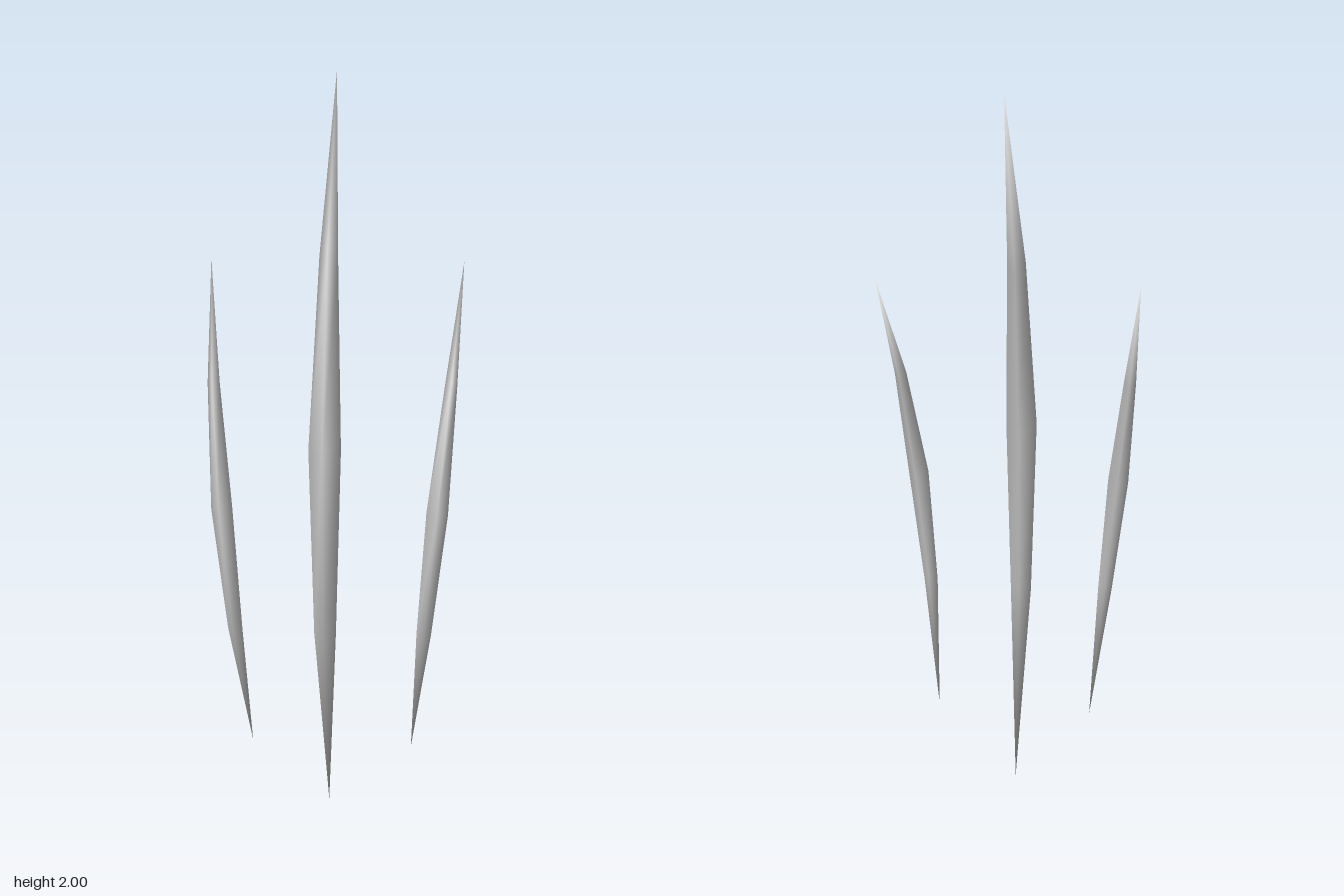
import * as THREE from 'three';

// Cross-sections of one curved claw, bottom to top: front [z, y], back [z, y], half width
const RINGS = [
  { front: [0.185, 0.53], back: [0.105, 0.585], half: 0.029 },
  { front: [0.21, 1.08], back: [0.085, 1.05], half: 0.042 },
  { front: [0.06, 1.57], back: [0.0, 1.52], half: 0.024 },
];
const BOTTOM = [0, 0, 0.03];
const TOP = [0, 2, -0.205];

// Diamond-section blade with a pointed tip at each end and smooth normals
function clawGeometry() {
  const positions = [...BOTTOM];
  for (const { front, back, half } of RINGS) {
    const z = (front[0] + back[0]) / 2;
    const y = (front[1] + back[1]) / 2;
    positions.push(0, front[1], front[0], half, y, z, 0, back[1], back[0], -half, y, z);
  }
  positions.push(...TOP);

  const last = RINGS.length * 4 + 1;
  const index = [];
  for (let i = 0; i < 4; i++) {
    const j = (i + 1) % 4;
    index.push(0, 1 + j, 1 + i);
    for (let r = 0; r < RINGS.length - 1; r++) {
      const a = 1 + r * 4 + i;
      const b = 1 + r * 4 + j;
      index.push(a, b, b + 4, a, b + 4, a + 4);
    }
    index.push(last - 4 + i, last - 4 + j, last);
  }

  const geometry = new THREE.BufferGeometry();
  geometry.setAttribute('position', new THREE.Float32BufferAttribute(positions, 3));
  geometry.setIndex(index);
  geometry.translate(0, 0, -BOTTOM[2]); // bottom tip becomes the pivot
  geometry.computeVertexNormals();
  return geometry;
}

export function createModel() {
  const model = new THREE.Group();
  model.name = 'clawMarks';
  const material = new THREE.MeshStandardMaterial({ color: 0xcccccc });
  const geometry = clawGeometry();

  function addClaw(name, x, y, z, scale, lean) {
    const claw = new THREE.Mesh(geometry, material);
    claw.name = name;
    claw.position.set(x, y, z);
    claw.scale.setScalar(scale);
    claw.rotation.z = lean;
    model.add(claw);
  }

  addClaw('middleClaw', -0.011, 0, BOTTOM[2], 1, 0);

  // Smaller outer claws leaning away from the middle
  for (const side of [-1, 1]) {
    addClaw(side < 0 ? 'rightClaw' : 'leftClaw', side * 0.22, 0.2, 0.075, 0.663, -side * 0.0855);
  }
  return model;
}
